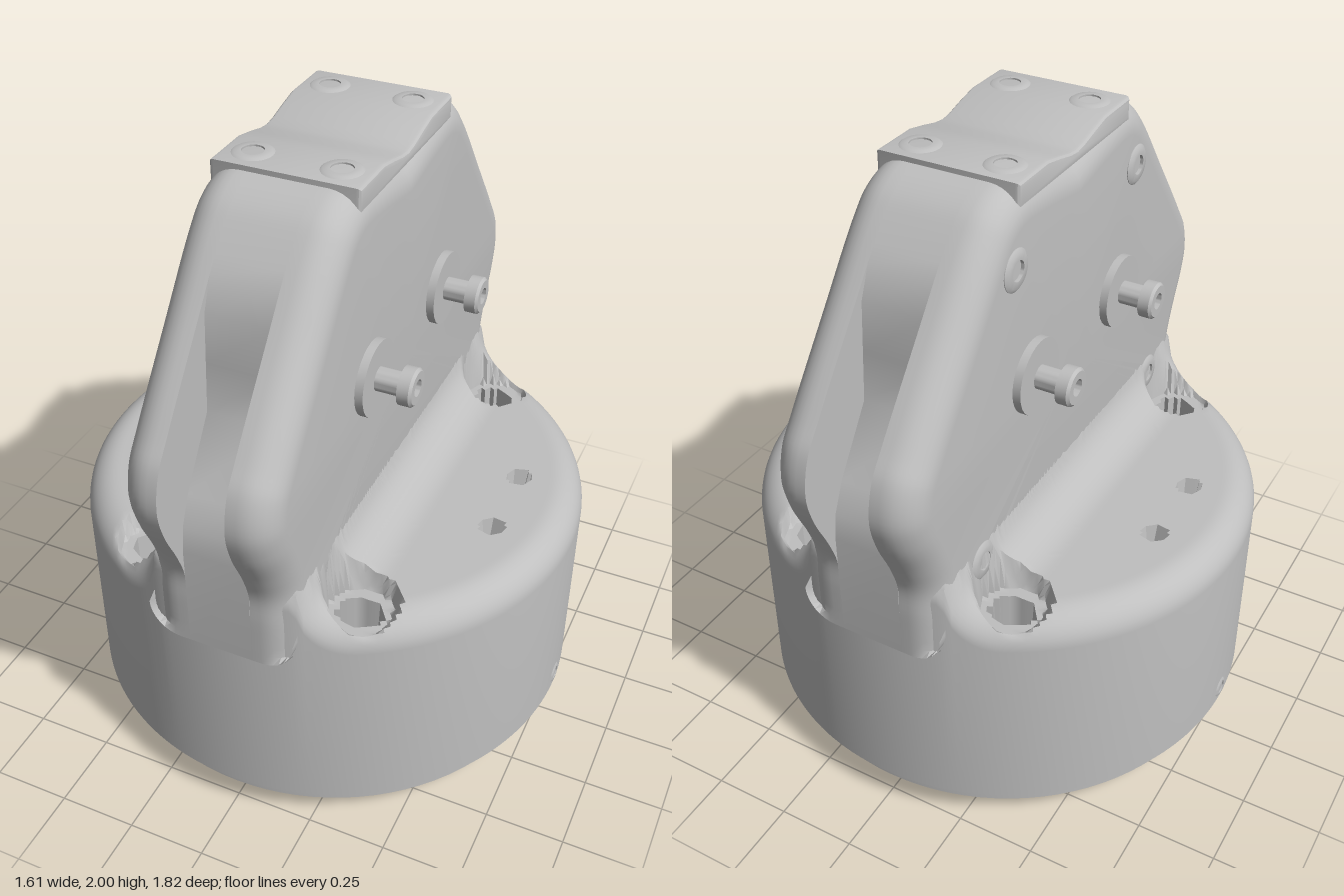
import * as THREE from 'three';
import { toCreasedNormals } from 'three/addons/utils/BufferGeometryUtils.js';

const metal = new THREE.MeshStandardMaterial({ color: 0xbfbfbf });
metal.name = 'light grey';

function add(parent, name, geometry, crease = 0.6) {
  const mesh = new THREE.Mesh(toCreasedNormals(geometry, crease), metal);
  mesh.name = name;
  parent.add(mesh);
  return mesh;
}

function fromTriangles(tris) {
  const g = new THREE.BufferGeometry();
  g.setAttribute('position', new THREE.Float32BufferAttribute(tris.flat(), 3));
  return g;
}

function pushQuad(tris, a, b, c, d) {
  tris.push(...a, ...b, ...c, ...a, ...c, ...d);
}

// Full symmetric outline in (z, y) from its +z half
function mirrored(half) {
  return [...half, ...half.filter(p => p[0] > 0.001).reverse().map(([z, y]) => [-z, y])];
}

// Outline in (z, y) extruded along x
function extrudeX(outline, width, bevel = 0) {
  const shape = new THREE.Shape(outline.map(([z, y]) => new THREE.Vector2(z, y)));
  const g = new THREE.ExtrudeGeometry(shape, {
    depth: width - 2 * bevel, bevelEnabled: bevel > 0, bevelSize: bevel, bevelThickness: bevel,
    bevelOffset: -bevel, bevelSegments: 3,
  });
  return g.translate(0, 0, bevel - width / 2).rotateY(Math.PI / 2);
}

// Lathe from [radius, height] pairs, base at y = 0
function turned(profile, segments = 28) {
  return new THREE.LatheGeometry(profile.map(([r, y]) => new THREE.Vector2(r, y)), segments);
}

// Screw head with a socket
function screwGeometry(r, h, socket, depth) {
  return turned([[r, 0], [r, h - 0.008], [r - 0.012, h], [socket, h], [socket, h - depth], [0, h - depth]]);
}

// Height of the base's top: rounded rim, flare into the fin, screw pockets and small holes
function topHeight(x, z) {
  const r = Math.hypot(x, z), ax = Math.abs(x), az = Math.abs(z);
  let y = 0.85;
  if (r > 0.7) y -= 0.1 - Math.sqrt(Math.max(0, 0.01 - (r - 0.7) ** 2));
  const dx = THREE.MathUtils.clamp(ax - 0.225, 0, 0.16);
  y += 0.16 - Math.sqrt(0.16 ** 2 - (0.16 - dx) ** 2);
  const d = Math.hypot(ax - 0.34, az - 0.58);
  y = THREE.MathUtils.lerp(Math.min(y, 0.79), y, THREE.MathUtils.smoothstep(d, 0.1, 0.115));
  if (d < 0.058) y = 0.45;
  if (Math.hypot(ax - 0.58, az - 0.13) < 0.034) y = 0.77;
  return y;
}

function baseGeometry() {
  const radii = [];
  for (let j = 0; j < 54; j++) radii.push(0.1 + 0.6 * j / 54);
  for (let k = 0; k <= 10; k++) radii.push(0.7 + 0.1 * Math.sin(k / 10 * Math.PI / 2));
  const n = 240, tris = [];
  const point = (j, i) => {
    const a = i / n * Math.PI * 2;
    const r = radii[Math.min(j, radii.length - 1)];
    const x = r * Math.sin(a), z = r * Math.cos(a);
    return [x, j === radii.length ? 0.14 : topHeight(x, z), z];
  };
  for (let j = 0; j < radii.length; j++)
    for (let i = 0; i < n; i++)
      pushQuad(tris, point(j, i), point(j + 1, i), point(j + 1, i + 1), point(j, i + 1));
  return fromTriangles(tris);
}

// Side plate of the fin, flat inside and rounded outside
function cheekGeometry(outline) {
  const n = outline.length, r = 0.1, tris = [];
  const normals = outline.map((p, i) => {
    const a = outline[(i + n - 1) % n], b = outline[(i + 1) % n];
    const tz = b[0] - a[0], ty = b[1] - a[1], l = Math.hypot(tz, ty);
    return [ty / l, -tz / l];
  });
  const layers = [[0.1, 0]];
  for (let k = 0; k <= 8; k++) {
    const a = k / 8 * Math.PI / 2;
    layers.push([0.13 + r * Math.sin(a), r * (1 - Math.cos(a))]);
  }
  const point = (j, i) => {
    const [x, inset] = layers[j], p = outline[i % n], m = normals[i % n];
    return [x, p[1] - m[1] * inset, p[0] - m[0] * inset];
  };
  const last = layers.length - 1;
  for (let i = 0; i < n; i++) {
    for (let j = 0; j < last; j++)
      pushQuad(tris, point(j, i), point(j + 1, i), point(j + 1, i + 1), point(j, i + 1));
    tris.push(0.1, 1.3, 0, ...point(0, i), ...point(0, i + 1));
    tris.push(0.23, 1.3, 0, ...point(last, i + 1), ...point(last, i));
  }
  return fromTriangles(tris);
}

export function createModel() {
  const model = new THREE.Group();
  model.name = 'mount';

  // Round base
  add(model, 'base', baseGeometry());
  add(model, 'baseUnderside', new THREE.RingGeometry(0.7, 0.8, 96).rotateX(Math.PI / 2).translate(0, 0.14, 0));

  // Bottom plate with screw holes along the front and back
  const disc = new THREE.Shape().absarc(0, 0, 0.76, 0, Math.PI * 2);
  const screwSpots = [];
  for (const s of [-1, 1])
    for (const x of [-0.38, -0.21, 0, 0.21, 0.38])
      if (x !== 0 || s > 0) screwSpots.push([x, s * Math.sqrt(0.66 ** 2 - x * x)]);
  for (const [x, z] of screwSpots)
    disc.holes.push(new THREE.Path().absarc(x, z, 0.05, 0, Math.PI * 2));
  add(model, 'bottomPlate', new THREE.ExtrudeGeometry(disc, { depth: 0.065, bevelEnabled: false, curveSegments: 48 })
    .rotateX(Math.PI / 2).translate(0, 0.14, 0));
  add(model, 'bottomBacking', new THREE.CircleGeometry(0.75, 64).rotateX(Math.PI / 2).translate(0, 0.135, 0));
  for (const [x, z] of screwSpots) {
    const screw = add(model, 'bottomScrew', screwGeometry(0.036, 0.045, 0.016, 0.02));
    screw.position.set(x, 0.135, z);
    screw.rotation.x = Math.PI;
  }

  // Locating pin and connector rim underneath
  const pin = add(model, 'pin', turned([[0.038, 0], [0.038, 0.065], [0.028, 0.08], [0, 0.08]]));
  pin.position.set(0, 0.08, -0.65);
  pin.rotation.x = Math.PI;
  const slot = (w, l, P) => new P().absarc(0, l, w, 0, Math.PI).absarc(0, -l, w, Math.PI, Math.PI * 2);
  const rim = slot(0.1, 0.08, THREE.Shape);
  rim.holes.push(slot(0.07, 0.08, THREE.Path));
  add(model, 'connectorRim', new THREE.ExtrudeGeometry(rim, { depth: 0.012, bevelEnabled: false })
    .rotateX(Math.PI / 2).translate(0, 0.076, -0.27));

  // Fin made of two rounded cheeks
  const edge = new THREE.CatmullRomCurve3([
    [0.8, 0.7], [0.8, 0.85], [0.8, 0.95], [0.83, 1.04], [0.885, 1.16], [0.908, 1.26], [0.885, 1.37],
    [0.83, 1.45], [0.65, 1.68], [0.49, 1.88], [0.42, 1.945], [0.33, 1.98], [0.17, 1.97], [0, 1.94],
  ].map(([z, y]) => new THREE.Vector3(0, y, z)), false, 'centripetal');
  const half = edge.getPoints(64).map(p => [p.z, p.y]);
  const cheek = cheekGeometry(mirrored(half));
  add(model, 'leftCheek', cheek);
  add(model, 'rightCheek', cheek).rotation.y = Math.PI;

  // Core between the cheeks, leaving a slot along each edge
  const floor = [[0.8, 0.7], [0.8, 1.04], [0.79, 1.12], [0.75, 1.21], [0.62, 1.4], [0.61, 1.55], [0.6, 1.7]];
  add(model, 'core', extrudeX(mirrored([...floor, ...half.filter(p => p[1] > 1.77 || p[0] < 0.3)]), 0.201));

  // Saddle cap and its four screws
  const capHalf = [[0.33, 1.92], [0.33, 1.995], [0.17, 1.995], [0.1, 1.98], [0.04, 1.965], [0, 1.96]];
  add(model, 'cap', extrudeX(mirrored(capHalf), 0.44, 0.015), 0.4);
  for (const x of [-0.13, 0.13])
    for (const z of [-0.245, 0.245])
      add(model, 'capScrew', screwGeometry(0.064, 0.018, 0.032, 0.016)).position.set(x, 1.982, z);

  // Two bolts on each side of the fin
  const bolt = turned([
    [0.115, 0], [0.115, 0.03], [0.036, 0.03], [0.036, 0.105], [0.058, 0.105], [0.058, 0.14],
    [0.05, 0.148], [0.026, 0.148], [0.026, 0.12], [0, 0.12],
  ]);
  for (const s of [-1, 1]) {
    for (const z of [-0.27, 0.27]) {
      const b = add(model, 'sideBolt', bolt);
      b.position.set(s * 0.225, 1.39, z);
      b.rotation.z = -s * Math.PI / 2;
    }
    // Small screw low on the base wall
    const wall = add(model, 'wallScrew', screwGeometry(0.04, 0.014, 0.022, 0.01));
    wall.position.set(s * 0.79, 0.185, 0);
    wall.rotation.z = -s * Math.PI / 2;
  }

  // Clamping screws set into the right cheek
  for (const [y, z] of [[1.77, 0.37], [0.92, 0.56]])
    for (const s of [-1, 1]) {
      const c = add(model, 'clampScrew', screwGeometry(0.062, 0.03, 0.03, 0.02));
      c.position.set(-0.21, y, s * z);
      c.rotation.z = Math.PI / 2;
    }

  return model;
}
